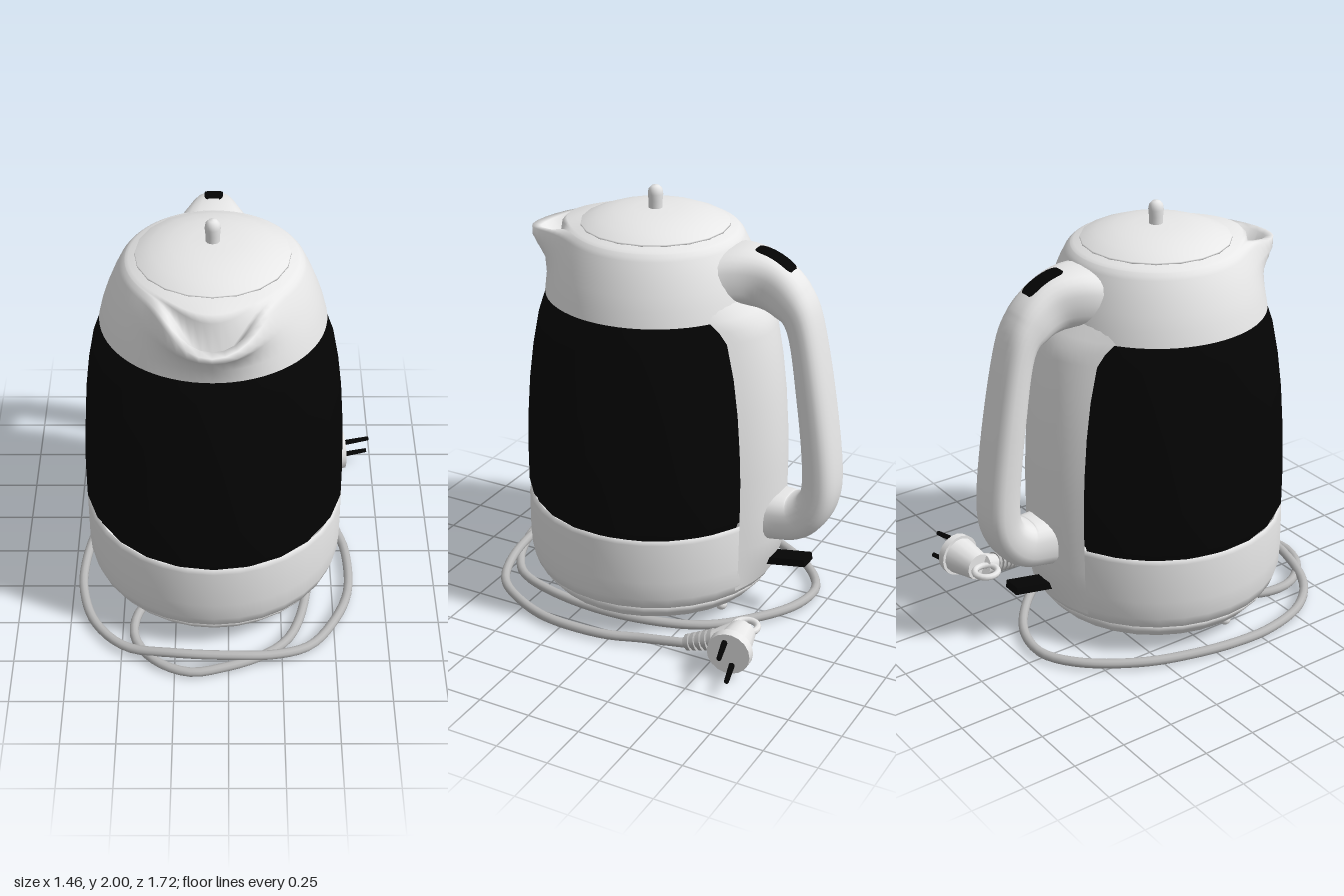
import * as THREE from 'three';

const mat = (name, color, side = THREE.FrontSide) => {
  const m = new THREE.MeshStandardMaterial({ color, side });
  m.name = name;
  return m;
};
const V = (x, y, z) => new THREE.Vector3(x, y, z);

export function createModel() {
  const white = mat('white plastic', 0xfdfdfd, THREE.DoubleSide);
  const black = mat('black shell', 0x040404, THREE.DoubleSide);
  const grey = mat('cable grey', 0xb8b8b8);

  const model = new THREE.Group();
  const body = new THREE.Group();
  body.name = 'kettle';
  body.position.set(-0.067, 0, 0.088);
  model.add(body);

  const add = (parent, name, geo, material, x = 0, y = 0, z = 0) => {
    const m = new THREE.Mesh(geo, material);
    m.name = name;
    m.position.set(x, y, z);
    parent.add(m);
    return m;
  };
  const lathe = (pts, seg, start = Math.PI, len = Math.PI * 2) =>
    new THREE.LatheGeometry(pts.map(p => new THREE.Vector2(p[0], p[1])), seg, start, len);

  // Stand, lower band and three feet
  add(body, 'stand', lathe([[0, 0.05], [0.47, 0.05], [0.52, 0.075], [0.555, 0.115], [0.575, 0.148], [0.55, 0.152]], 32), white);
  add(body, 'lowerBand', lathe([[0.55, 0.152], [0.582, 0.157], [0.6, 0.21], [0.606, 0.3], [0.606, 0.495], [0.59, 0.512]], 32), white);
  for (let i = 0; i < 3; i++) {
    const a = 0.71 + i * Math.PI * 2 / 3;
    add(body, 'foot', new THREE.SphereGeometry(0.028, 10, 8), white, 0.46 * Math.sin(a), 0.034, 0.46 * Math.cos(a));
  }

  // Moves lathe vertices by a rule on angle from the back, radius and height
  const bend = (geo, rule) => {
    const p = geo.attributes.position;
    for (let i = 0; i < p.count; i++) {
      const y = p.getY(i), ang = Math.atan2(p.getX(i), -p.getZ(i));
      const [d, r] = rule(Math.abs(ang), Math.hypot(p.getX(i), p.getZ(i)), y);
      p.setXYZ(i, Math.sign(ang) * r * Math.sin(d), y, -r * Math.cos(d));
    }
    geo.computeVertexNormals();
    return geo;
  };
  // Angle of the shell's edge: upright sides that flare under the crown
  const edge = (r, y) => Math.asin(0.225 / r) + 0.1 * Math.max(0, (y - 1.38) / 0.13) ** 2;

  // Black shell, open at the back where the handle panel sits
  const shell = [[0.585, 0.508], [0.59, 0.53], [0.606, 0.55], [0.606, 0.75], [0.6, 0.9], [0.587, 1.08], [0.566, 1.25], [0.536, 1.41], [0.518, 1.465], [0.5, 1.515]];
  const gap = 0.4;
  add(body, 'shell', bend(lathe(shell, 20, Math.PI + gap, 2 * (Math.PI - gap)), (d, r, y) => {
    const e = edge(r, y);
    return [e + (d - gap) * (Math.PI - e) / (Math.PI - gap), r];
  }), black);

  // Back panel bulging towards the handle and sinking into band and crown
  const panelPts = [[0.59, 0.18], [0.603, 0.3], [0.604, 0.4], ...shell.slice(2), [0.465, 1.6]];
  add(body, 'backPanel', bend(lathe(panelPts, 14, Math.PI - gap, 2 * gap), (d, r, y) => {
    const fade = THREE.MathUtils.clamp(Math.min((y - 0.18) / 0.2, (1.6 - y) / 0.12), 0, 1);
    const f = Math.min(1, d / gap);
    return [f * (edge(r, Math.min(y, 1.515)) + 0.02), r + 0.004 + 0.05 * fade * Math.cos(f * Math.PI / 2)];
  }), white);

  // Crown with spout; each ring: radius, height, spout push, spout drop, sharpness of the drop
  const rings = [
    [0.505, 1.51, 0, 0, 1], [0.488, 1.58, 0.027, 0, 1], [0.468, 1.64, 0.08, 0, 1],
    [0.452, 1.68, 0.15, 0, 1], [0.436, 1.72, 0.19, -0.02, 1], [0.407, 1.78, 0.225, -0.05, 1.6],
    [0.396, 1.795, 0.19, -0.065, 1.6], [0.384, 1.807, 0.15, -0.16, 2], [0.38, 1.81, 0.1, -0.2, 2],
    [0.376, 1.812, 0.085, -0.028, 2], [0.366, 1.818, 0.07, -0.006, 1], [0.33, 1.83, 0, 0, 1],
  ];
  const crown = lathe(rings, 72);
  const cp = crown.attributes.position;
  for (let i = 0; i < cp.count; i++) {
    const [r, y, push, drop, pow] = rings[i % rings.length];
    const phi = Math.atan2(cp.getX(i), cp.getZ(i));
    const w = Math.exp(-((phi / 0.454) ** 2));
    const rr = r + push * w;
    cp.setXYZ(i, rr * Math.sin(phi), y + drop * w ** pow, rr * Math.cos(phi));
  }
  crown.computeVertexNormals();
  add(body, 'crownAndSpout', crown, white);

  // Lid and knob
  add(body, 'lid', lathe([[0.31, 1.815], [0.34, 1.826], [0.338, 1.835], [0.27, 1.863], [0.19, 1.884], [0.1, 1.894], [0, 1.897]], 20), white);
  add(body, 'lidKnob', lathe([[0.032, 1.885], [0.032, 1.93], [0.035, 1.96], [0.031, 1.983], [0.018, 1.997], [0, 2]], 16), white);

  // Handle: centre line (z, y) with half thickness and half width
  const nodes = [
    [-0.2, 1.63, 0.13, 0.25], [-0.36, 1.66, 0.13, 0.165], [-0.48, 1.645, 0.125, 0.11],
    [-0.585, 1.583, 0.102, 0.105], [-0.662, 1.47, 0.072, 0.105], [-0.725, 1.15, 0.075, 0.11],
    [-0.77, 0.8, 0.08, 0.11], [-0.757, 0.63, 0.085, 0.11], [-0.67, 0.53, 0.105, 0.115],
    [-0.55, 0.51, 0.115, 0.13], [-0.42, 0.5, 0.12, 0.16],
  ];
  const line = new THREE.CatmullRomCurve3(nodes.map(n => V(0, n[1], n[0])), false, 'catmullrom', 0.5);
  const sizes = new THREE.CatmullRomCurve3(nodes.map(n => V(n[2], n[3], 0)), false, 'catmullrom', 0.5);
  const frame = u => {
    const c = line.getPoint(u), s = sizes.getPoint(u);
    const t = line.getTangent(u);
    return { c, n: V(0, -t.z, t.y), t: s.x, w: s.y };
  };
  const sweep = (fn, u0, u1, steps, sides, pow) => {
    const pos = [], idx = [];
    const soft = v => Math.sign(v) * Math.abs(v) ** pow;
    for (let i = 0; i <= steps; i++) {
      const f = fn(u0 + (u1 - u0) * i / steps);
      for (let j = 0; j < sides; j++) {
        const a = j / sides * Math.PI * 2;
        const p = f.c.clone().addScaledVector(f.n, f.t * soft(Math.sin(a)));
        pos.push(p.x + f.w * soft(Math.cos(a)), p.y, p.z);
        if (i < steps) {
          const k = (j + 1) % sides, b = i * sides, c = b + sides;
          idx.push(b + j, c + j, b + k, b + k, c + j, c + k);
        }
      }
    }
    const g = new THREE.BufferGeometry();
    g.setAttribute('position', new THREE.Float32BufferAttribute(pos, 3));
    g.setIndex(idx);
    g.computeVertexNormals();
    return g;
  };
  add(model, 'handle', sweep(frame, 0, 1, 60, 24, 0.75), white, -0.067);

  // Black inlay on top of the handle, with rounded ends
  const inlay = u => {
    const f = frame(u);
    const e = Math.abs((u - 0.1975) / 0.0575);
    return { c: f.c.addScaledVector(f.n, f.t), n: f.n, t: 0.004, w: 0.042 * (1 - 0.4 * e ** 10) };
  };
  add(model, 'handleInlay', sweep(inlay, 0.14, 0.255, 20, 12, 0.4), black, -0.067);

  // Switch lever under the handle
  const lever = add(model, 'switchLever', new THREE.BoxGeometry(0.09, 0.036, 0.22), black, -0.067, 0.28, -0.61);
  lever.rotation.x = 0.18;

  // Power cable, from the strain relief around the kettle and back under the stand
  const cable = [
    [0.49, 0.05, -0.37], [0.53, 0.035, -0.15], [0.575, 0.03, 0.02], [0.575, 0.03, 0.32], [0.5, 0.03, 0.52],
    [0.38, 0.03, 0.68], [0.22, 0.045, 0.75], [0, 0.065, 0.775], [-0.25, 0.065, 0.76], [-0.48, 0.035, 0.69],
    [-0.63, 0.03, 0.53], [-0.7, 0.03, 0.3], [-0.7, 0.03, 0.1], [-0.66, 0.03, -0.12], [-0.58, 0.03, -0.35],
    [-0.42, 0.03, -0.58], [-0.26, 0.03, -0.68], [-0.08, 0.03, -0.66], [0.1, 0.03, -0.55], [0.28, 0.025, -0.35],
    [0.38, 0.025, 0], [0.37, 0.025, 0.35], [0.28, 0.025, 0.63], [0.15, 0.022, 0.74], [-0.02, 0.022, 0.81],
    [-0.18, 0.022, 0.84], [-0.34, 0.025, 0.77], [-0.44, 0.025, 0.62], [-0.42, 0.025, 0.44], [-0.25, 0.03, 0.25],
  ];
  const path = new THREE.CatmullRomCurve3(cable.map(p => V(...p)));
  add(model, 'powerCable', new THREE.TubeGeometry(path, 140, 0.022, 10), grey);

  // Cylinder between two points
  const rod = (parent, name, a, b, r0, r1, material, seg = 14) => {
    const d = b.clone().sub(a);
    const m = add(parent, name, new THREE.CylinderGeometry(r1, r0, d.length(), seg), material);
    m.position.copy(a).addScaledVector(d, 0.5);
    m.quaternion.setFromUnitVectors(V(0, 1, 0), d.normalize());
  };

  // Strain relief with ribs
  const r0 = V(0.465, 0.095, -0.5), r1 = V(0.49, 0.05, -0.36);
  rod(model, 'plugNeck', V(0.43, 0.13, -0.59), r0, 0.06, 0.045, white);
  rod(model, 'strainRelief', r0, r1, 0.036, 0.026, grey);
  for (let i = 0; i < 5; i++) {
    const a = r0.clone().lerp(r1, i / 5), b = r0.clone().lerp(r1, (i + 0.6) / 5);
    rod(model, 'strainReliefRib', a, b, 0.052 - i * 0.003, 0.05 - i * 0.003, grey);
  }

  // Plug with pull ring and two pins
  const plug = new THREE.Group();
  plug.name = 'plug';
  plug.position.set(0.357, 0.135, -0.603);
  plug.rotation.y = 0.13;
  model.add(plug);
  const ring = add(plug, 'pullRing', new THREE.TorusGeometry(0.056, 0.016, 8, 20), white);
  ring.rotation.x = Math.PI / 2;
  rod(plug, 'plugBody', V(0.055, 0, 0), V(0.215, 0, 0), 0.066, 0.092, white);
  rod(plug, 'plugFlange', V(0.205, 0, 0), V(0.245, 0, 0), 0.104, 0.1, white, 18);
  for (const s of [1, -1]) {
    rod(plug, 'plugPin', V(0.24, 0.055 * s, 0.018 * s), V(0.375, 0.055 * s, 0.018 * s - 0.02), 0.014, 0.011, black, 10);
  }

  return model;
}
